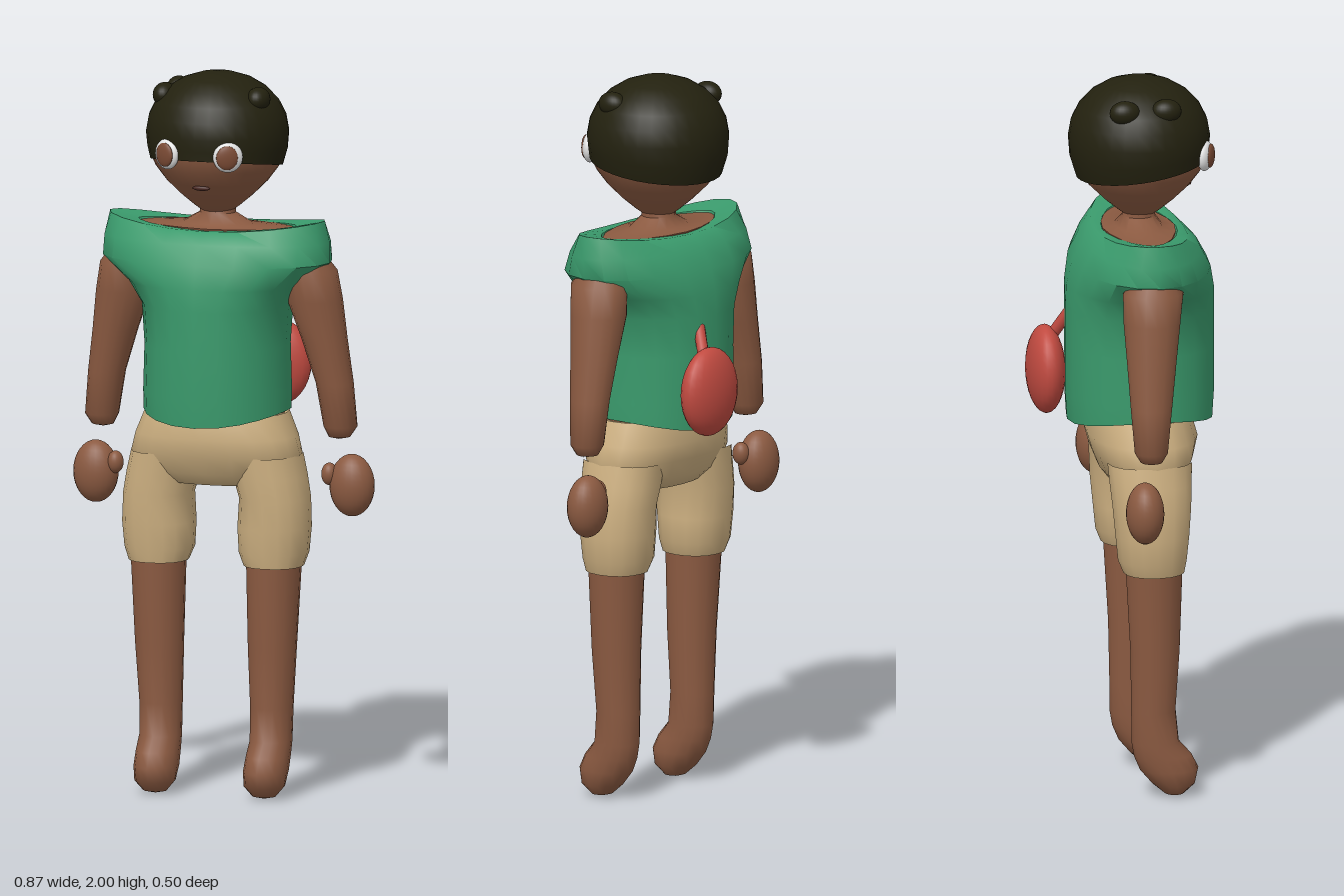
import * as THREE from 'three';
import { toCreasedNormals } from 'three/addons/utils/BufferGeometryUtils.js';

const mat = (name, color) => {
  const m = new THREE.MeshStandardMaterial({ color });
  m.name = name;
  return m;
};

// Skin a stack of rings, listed bottom to top:
// { y, x, z: centre, rx, rz: radii, e: squareness, lift: raises the sides, tilt: raises the front }
function loft(rings, n = 16, crease = 0.9) {
  const pos = [], idx = [];
  const pw = (v, e) => Math.sign(v) * Math.pow(Math.abs(v), e);
  rings.forEach(({ y, x = 0, z = 0, rx, rz, e = 1, lift = 0, tilt = 0 }, i) => {
    for (let j = 0; j < n; j++) {
      const a = (j / n) * Math.PI * 2, c = Math.cos(a), s = Math.sin(a);
      pos.push(x + rx * pw(c, e), y + lift * c * c + tilt * s, z + rz * pw(s, e));
      if (i < rings.length - 1) {
        const k = (j + 1) % n, p = i * n + j, q = i * n + k;
        idx.push(p, p + n, q + n, p, q + n, q);
      }
    }
  });
  const g = new THREE.BufferGeometry();
  g.setAttribute('position', new THREE.Float32BufferAttribute(pos, 3));
  g.setIndex(idx);
  return toCreasedNormals(g, crease);
}

export function createModel() {
  const skin = mat('skin', 0x8b5a41);
  const shirtGreen = mat('shirt green', 0x3a9a6c);
  shirtGreen.side = THREE.DoubleSide;
  const tan = mat('shorts tan', 0xcdb081);
  const hairDark = mat('hair dark', 0x23210f);
  const red = mat('pouch red', 0xc04a40);
  const white = mat('eye white', 0xe4e4e4);
  const iris = mat('iris brown', 0x7a4a34);
  const lip = mat('mouth dark', 0x4a2822);

  const model = new THREE.Group();
  model.name = 'figure';
  const add = (name, geo, material, parent = model) => {
    const m = new THREE.Mesh(geo, material);
    m.name = name;
    parent.add(m);
    return m;
  };
  const ball = (name, material, p, r, parent = model) => {
    const m = add(name, new THREE.SphereGeometry(1, 24, 16), material, parent);
    m.position.set(...p);
    m.scale.set(...r);
    return m;
  };
  // Rings given as [y, x0, x1, z0, z1] extents
  const span = (rows, s = 1, e = 1) => rows.map(([y, x0, x1, z0, z1]) => ({
    y, x: s * (x0 + x1) / 2, z: (z0 + z1) / 2, rx: (x1 - x0) / 2, rz: (z1 - z0) / 2, e,
  }));
  // Rings given as [y, rx, rz, extras], sharing one centre depth
  const stack = (z, rows) => rows.map(([y, rx, rz, o]) => ({ y, z, rx, rz, ...o }));

  // Head and hair
  add('head', loft(stack(0.045, [
    [1.6, 0, 0], [1.607, 0.03, 0.03], [1.63, 0.062, 0.062], [1.66, 0.098, 0.098], [1.7, 0.139, 0.139],
    [1.74, 0.169, 0.169], [1.78, 0.187, 0.187], [1.84, 0.19, 0.19], [1.9, 0.165, 0.165], [1.97, 0.06, 0.06],
  ]), 32, 1.2), skin);
  add('hair', loft(stack(0.045, [
    [1.75, 0.168, 0.168, { z: 0.055, tilt: 0.027 }],
    [1.75, 0.181, 0.181, { z: 0.053, tilt: 0.027 }],
    [1.79, 0.192, 0.19, { tilt: 0.012 }],
    [1.835, 0.196, 0.194], [1.88, 0.188, 0.186], [1.92, 0.168, 0.166],
    [1.955, 0.135, 0.134], [1.98, 0.094, 0.093], [1.995, 0.046, 0.046], [2, 0, 0],
  ]), 32, 1.2), hairDark);
  for (const [x, y, z] of [[-0.135, 1.935, 0.095], [-0.135, 1.935, -0.02], [0.135, 1.935, 0.095]])
    ball('hairTuft', hairDark, [x, y, z], [0.032, 0.033, 0.042]);

  // Face
  for (const s of [-1, 1]) {
    const eye = new THREE.Group();
    eye.name = s > 0 ? 'leftEye' : 'rightEye';
    eye.position.set(s * 0.088, 1.79, 0.212);
    eye.rotation.y = s * 0.45;
    ball('eyeball', white, [0, 0, 0], [0.041, 0.042, 0.02], eye);
    ball('iris', iris, [-s * 0.004, 0, 0.014], [0.03, 0.033, 0.01], eye);
    model.add(eye);
  }
  ball('mouth', lip, [0, 1.695, 0.181], [0.025, 0.007, 0.008]);

  // Neck, bare shoulders and waist
  add('neck', loft(stack(0.043, [
    [1.5, 0.19, 0.08], [1.576, 0.225, 0.1, { e: 1.2 }], [1.582, 0.1, 0.065], [1.61, 0.05, 0.045], [1.64, 0.05, 0.045],
  ]), 16), skin);
  add('waist', loft(stack(0.045, [[1, 0.19, 0.13], [1.07, 0.194, 0.14], [1.15, 0.18, 0.14]]), 16), skin);

  // Shirt with short sleeves drawn out of the shoulders
  add('shirt', loft(stack(0.045, [
    [1.1, 0.18, 0.18],
    [1.04, 0.2, 0.2, { lift: 0.03, e: 0.95 }],
    [1.12, 0.201, 0.205, { e: 0.95 }],
    [1.25, 0.197, 0.205, { e: 0.95 }],
    [1.36, 0.205, 0.205, { e: 0.95 }],
    [1.42, 0.245, 0.202, { e: 0.95 }],
    [1.485, 0.325, 0.187, { e: 0.95 }],
    [1.54, 0.324, 0.157, { e: 0.95 }],
    [1.573, 0.31, 0.122, { lift: 0.027, e: 1 }],
    [1.572, 0.228, 0.102, { lift: 0.01, e: 1.2 }],
    [1.55, 0.215, 0.09, { e: 1.2 }],
  ]), 20), shirtGreen);

  // Shorts: hips, then one tube per leg
  add('shortsHips', loft(span([
    [0.865, 0, 0, 0.05, 0.05], [0.868, -0.14, 0.14, -0.04, 0.14], [0.9, -0.22, 0.22, -0.065, 0.165],
    [0.95, -0.24, 0.24, -0.085, 0.185], [1, -0.226, 0.226, -0.1, 0.198],
    [1.065, -0.2, 0.2, -0.088, 0.18], [1.065, -0.18, 0.18, -0.07, 0.16],
  ], 1, 0.85), 20), tan);

  for (const s of [-1, 1]) {
    const side = s > 0 ? 'left' : 'right';
    add(side + 'ShortsLeg', loft(span([
      [0.66, 0.1, 0.23, -0.01, 0.12], [0.643, 0.085, 0.247, -0.03, 0.138], [0.68, 0.07, 0.26, -0.045, 0.145],
      [0.75, 0.067, 0.266, -0.052, 0.152], [0.83, 0.073, 0.262, -0.06, 0.158],
      [0.89, 0.055, 0.252, -0.065, 0.162], [0.95, 0.05, 0.238, -0.07, 0.165],
    ], s, 0.9), 16), tan);

    // Leg running into a small forward foot
    add(side + 'Leg', loft(span([
      [0.005, 0.157, 0.157, 0.11, 0.11], [0.012, 0.125, 0.19, 0.085, 0.14], [0.04, 0.102, 0.214, 0.052, 0.17],
      [0.08, 0.098, 0.218, 0.018, 0.18], [0.12, 0.1, 0.218, 0.001, 0.16], [0.16, 0.102, 0.217, -0.006, 0.125],
      [0.25, 0.101, 0.219, -0.007, 0.116], [0.42, 0.096, 0.23, -0.01, 0.127], [0.68, 0.09, 0.244, -0.025, 0.135],
    ], s), 16, 1.1), skin);

    // Arm
    add(side + 'Arm', loft(span([
      [0.995, 0.34, 0.34, 0.015, 0.015], [1.002, 0.312, 0.372, -0.015, 0.045], [1.03, 0.298, 0.391, -0.032, 0.06],
      [1.15, 0.278, 0.38, -0.04, 0.075], [1.27, 0.24, 0.364, -0.045, 0.092],
      [1.38, 0.2, 0.352, -0.05, 0.108], [1.46, 0.2, 0.337, -0.05, 0.118], [1.51, 0.2, 0.3, -0.02, 0.095],
    ], s), 16, 1.1), skin);

    // Hand and thumb
    ball(side + 'Hand', skin, [s * 0.37, 0.865, -0.008], [0.063, 0.086, 0.052]);
    ball(side + 'Thumb', skin, [s * 0.309, 0.895, 0.005], [0.022, 0.031, 0.024]);
  }

  // Red pouch hanging on the back with a short strap
  ball('pouch', red, [0.08, 1.163, -0.2], [0.105, 0.123, 0.053]);
  const strap = new THREE.LineCurve3(new THREE.Vector3(0.08, 1.26, -0.18), new THREE.Vector3(0.05, 1.33, -0.14));
  add('pouchStrap', new THREE.TubeGeometry(strap, 1, 0.016, 10), red);
  ball('strapEnd', red, [0.05, 1.33, -0.14], [0.016, 0.016, 0.016]);

  return model;
}
